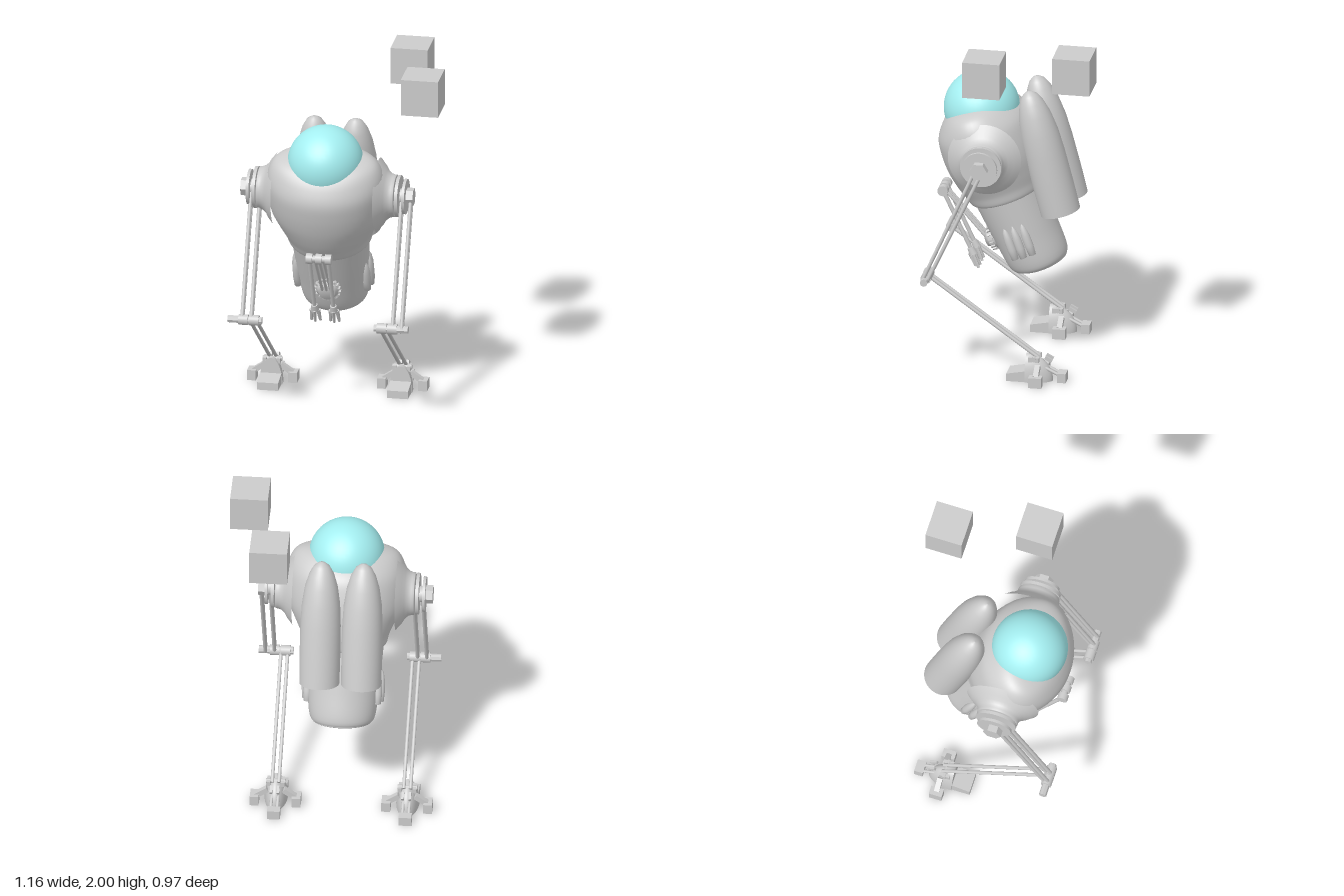
import * as THREE from 'three';

const grey = new THREE.MeshStandardMaterial({ color: 0xcccccc });
const greyOpen = new THREE.MeshStandardMaterial({ color: 0xcccccc, side: THREE.DoubleSide });
const flat = new THREE.MeshStandardMaterial({ color: 0xcccccc, flatShading: true });
const glass = new THREE.MeshStandardMaterial({ color: 0xa4eef0 });
const V = (x, y, z) => new THREE.Vector3(x, y, z);

function add(parent, name, geometry, x = 0, y = 0, z = 0, material = grey) {
  const mesh = new THREE.Mesh(geometry, material);
  mesh.name = name;
  mesh.position.set(x, y, z);
  parent.add(mesh);
  return mesh;
}

function box(parent, name, w, h, d, x, y, z) {
  return add(parent, name, new THREE.BoxGeometry(w, h, d), x, y, z);
}

// Cylinder between two points
function rod(parent, name, a, b, r, r2 = r, sides = 12) {
  const dir = b.clone().sub(a);
  const m = add(parent, name, new THREE.CylinderGeometry(r2, r, dir.length(), sides), 0, 0, 0, sides < 9 ? flat : grey);
  m.position.copy(a).add(b).multiplyScalar(0.5);
  m.quaternion.setFromUnitVectors(V(0, 1, 0), dir.normalize());
  return m;
}

// Oval rings [y, radius x, radius z, centre z], listed upward; closed by tiny end rings
function loft(rings, steps, seg = 48) {
  const pos = [], index = [];
  const heights = new THREE.CatmullRomCurve3(rings.map(r => V(r[0], r[1], r[2])), false, 'centripetal');
  const shifts = new THREE.CatmullRomCurve3(rings.map(r => V(r[3] || 0, 0, 0)));
  for (let i = 0; i <= steps; i++) {
    const p = heights.getPoint(i / steps), c = shifts.getPoint(i / steps).x;
    for (let j = 0; j < seg; j++) {
      const a = j / seg * Math.PI * 2;
      pos.push(Math.sin(a) * p.y, p.x, Math.cos(a) * p.z + c);
      if (i < steps) {
        const k = i * seg, n = (j + 1) % seg;
        index.push(k + j, k + n, k + seg + j, k + n, k + seg + n, k + seg + j);
      }
    }
  }
  const g = new THREE.BufferGeometry();
  g.setAttribute('position', new THREE.Float32BufferAttribute(pos, 3));
  g.setIndex(index);
  g.computeVertexNormals();
  return g;
}

const lathe = (pts, seg = 32) => new THREE.LatheGeometry(pts.map(p => new THREE.Vector2(p[0], p[1])), seg);

function buildBody(robot) {
  const body = new THREE.Group();
  body.name = 'body';
  body.position.set(0, 0.98, 0.065);
  body.rotation.x = THREE.MathUtils.degToRad(20);
  robot.add(body);

  add(body, 'upperShell', loft([
    [0, 0.2, 0.19], [0, 0.232, 0.217], [0.06, 0.25, 0.24], [0.13, 0.28, 0.26], [0.23, 0.322, 0.276],
    [0.34, 0.337, 0.277], [0.43, 0.335, 0.262], [0.5, 0.315, 0.215], [0.545, 0.28, 0.165],
    [0.57, 0.21, 0.11], [0.578, 0.001, 0.001]], 60));
  add(body, 'lowerHull', loft([
    [-0.467, 0.001, 0.001, -0.03], [-0.465, 0.13, 0.115, -0.03], [-0.45, 0.17, 0.155, -0.03],
    [-0.42, 0.185, 0.172, -0.028], [-0.25, 0.203, 0.186, -0.016], [0.01, 0.222, 0.202, 0]], 40));

  // Three bullet fins on each flank
  const fin = lathe([[0, -0.1], [0.02, -0.1], [0.025, -0.04], [0.024, 0.02], [0.016, 0.07], [0, 0.1]], 16);
  for (const s of [-1, 1]) for (let i = -1; i <= 1; i++)
    add(body, 'sideFin', fin, s * (i ? 0.198 : 0.21), -0.24, i * 0.052 - 0.008);

  // Toothed arm mount on the belly
  const mount = new THREE.Group();
  mount.name = 'armMount';
  mount.position.set(0, -0.24, 0.17);
  mount.rotation.x = Math.PI / 2;
  body.add(mount);
  add(mount, 'mountDisc', lathe([[0.066, -0.03], [0.066, 0.02], [0.05, 0.035], [0.045, 0.05], [0, 0.05]]));
  for (let i = 0; i < 18; i++) {
    const a = i / 18 * Math.PI * 2;
    const tooth = box(mount, 'mountTooth', 0.011, 0.025, 0.018, Math.sin(a) * 0.067, 0.012, Math.cos(a) * 0.067);
    tooth.rotation.y = a;
  }
}

function buildBackTanks(robot) {
  const shape = lathe([[0.113, 0], [0.115, 0.15], [0.114, 0.35], [0.108, 0.48], [0.092, 0.59],
    [0.07, 0.665], [0.045, 0.712], [0.02, 0.732], [0, 0.737]], 40);
  for (const s of [-1, 1]) {
    const tank = add(robot, 'backTank', shape, s * 0.118, 0.925, -0.253, greyOpen);
    tank.rotation.x = THREE.MathUtils.degToRad(14.5);
  }
}

function buildArms(robot) {
  const elbow = V(0, 0.975, 0.43);
  for (const x of [-0.024, 0, 0.024])
    rod(robot, 'upperArmRod', V(x, 0.7, 0.19), V(x, elbow.y, elbow.z), 0.009);
  rod(robot, 'elbowShaft', V(-0.07, elbow.y, elbow.z), V(0.07, elbow.y, elbow.z), 0.02);
  for (const x of [-0.054, 0, 0.054])
    rod(robot, 'elbowDrum', V(x - 0.018, elbow.y, elbow.z), V(x + 0.018, elbow.y, elbow.z), 0.03, 0.03, 20);
  for (const s of [-1, 1]) {
    const x = s * 0.054;
    rod(robot, 'forearm', V(x, elbow.y, elbow.z), V(x, 0.62, 0.265), 0.012);
    rod(robot, 'wrist', V(x, 0.64, 0.275), V(x, 0.6, 0.256), 0.018, 0.024);
    // Three fingers
    for (const [dx, dz] of [[-0.018, 0], [0.018, 0], [0, 0.02]])
      rod(robot, 'finger', V(x + dx, 0.605, 0.256 + dz), V(x + dx * 1.4, 0.53, 0.222 + dz), 0.013, 0.008, 6);
  }
}

function buildFoot(robot, x) {
  const foot = new THREE.Group();
  foot.name = 'foot';
  foot.position.set(x, 0, -0.105);
  robot.add(foot);
  // Hood: half dome with a flat front
  const hood = add(foot, 'footHood', new THREE.SphereGeometry(1, 24, 12, Math.PI, Math.PI, 0, Math.PI / 2), 0, 0, 0, greyOpen);
  hood.scale.set(0.066, 0.155, 0.152);
  const front = add(foot, 'hoodFront', new THREE.CircleGeometry(1, 24, 0, Math.PI), 0, 0, 0, greyOpen);
  front.scale.set(0.066, 0.155, 1);
  // Sloped front toe
  const toe = new THREE.BoxGeometry(0.12, 0.065, 0.105);
  const p = toe.attributes.position;
  for (let i = 0; i < p.count; i++) if (p.getY(i) > 0 && p.getZ(i) > 0) p.setY(i, 0.012);
  toe.computeVertexNormals();
  add(foot, 'frontToe', toe, 0, 0.0325, 0.0525);
  // Side and back toes
  for (const s of [-1, 1]) {
    box(foot, 'sideToe', 0.05, 0.06, 0.075, s * 0.118, 0.03, -0.072);
    const link = box(foot, 'sideToeLink', 0.08, 0.03, 0.03, s * 0.078, 0.072, -0.072);
    link.rotation.z = -s * 0.6;
    rod(foot, 'backToeLink', V(s * 0.018, 0.08, -0.11), V(s * 0.018, 0.04, -0.19), 0.009);
    for (const z of [-0.03, -0.068]) box(foot, 'hoodLug', 0.02, 0.028, 0.022, s * 0.04, 0.132, z);
    const tab = box(foot, 'heelTab', 0.014, 0.02, 0.045, s * 0.02, 0.133, -0.13);
    tab.rotation.x = -0.5;
  }
  box(foot, 'backToe', 0.072, 0.055, 0.05, 0, 0.0275, -0.205);
  rod(foot, 'anklePin', V(-0.055, 0.135, -0.05), V(0.055, 0.135, -0.05), 0.014);
}

function buildLeg(robot, s, rodOffsets) {
  const hip = V(0, 1.277, 0.15), knee = V(0, 0.593, 0.457), ankle = V(0, 0.14, -0.175);
  const at = (d, p, dy = 0, dz = 0) => V(s * d, p.y + dy, p.z + dz);

  // Flared shoulder, stacked hip discs and hexagonal cap
  const shoulder = add(robot, 'shoulder', lathe([[0.21, 0.29], [0.172, 0.322], [0.145, 0.338], [0.127, 0.358],
    [0.121, 0.375], [0.12, 0.39], [0.115, 0.392], [0, 0.392]], 40), 0, hip.y, hip.z);
  shoulder.rotation.z = -s * Math.PI / 2;
  rod(robot, 'hipAxle', at(0.38, hip), at(0.46, hip), 0.045, 0.045, 24);
  rod(robot, 'hipDisc', at(0.398, hip), at(0.416, hip), 0.118, 0.118, 40);
  rod(robot, 'hipPlate', at(0.436, hip), at(0.452, hip), 0.1, 0.1, 40);
  rod(robot, 'hipHexCap', at(0.45, hip), at(0.492, hip), 0.052, 0.052, 6);

  // Paired thigh rods
  for (const d of rodOffsets) for (const k of [-1, 1])
    rod(robot, 'thighRod', at(d, hip, k * 0.008, k * 0.018), at(d, knee, k * 0.005, k * 0.012), 0.0105);

  // Knee shaft
  rod(robot, 'kneeShaft', at(0.32, knee), at(0.515, knee), 0.022, 0.022, 8);
  rod(robot, 'kneeDrum', at(0.337, knee), at(0.392, knee), 0.03, 0.03, 24);
  rod(robot, 'kneeDrum', at(0.398, knee), at(0.452, knee), 0.03, 0.03, 24);

  // Shin rods and foot
  for (const k of [-1, 1]) rod(robot, 'shinRod', at(0.371 + k * 0.019, knee), at(0.371 + k * 0.019, ankle), 0.01);
  buildFoot(robot, s * 0.371);
}

export function createModel() {
  const model = new THREE.Group();
  model.name = 'walkerWithCubes';
  const robot = new THREE.Group();
  robot.name = 'robot';
  robot.position.x = -0.063;
  model.add(robot);

  buildBody(robot);
  add(robot, 'domeHead', new THREE.SphereGeometry(0.215, 48, 32), 0, 1.477, 0.218, glass);
  buildBackTanks(robot);
  buildArms(robot);
  buildLeg(robot, -1, [0.381, 0.433]);
  buildLeg(robot, 1, [0.426, 0.478]);

  // Floating cubes
  box(model, 'floatingCube', 0.213, 0.213, 0.213, 0.325, 1.8935, -0.381);
  box(model, 'floatingCube', 0.213, 0.213, 0.213, 0.472, 1.8935, 0.107);
  return model;
}
